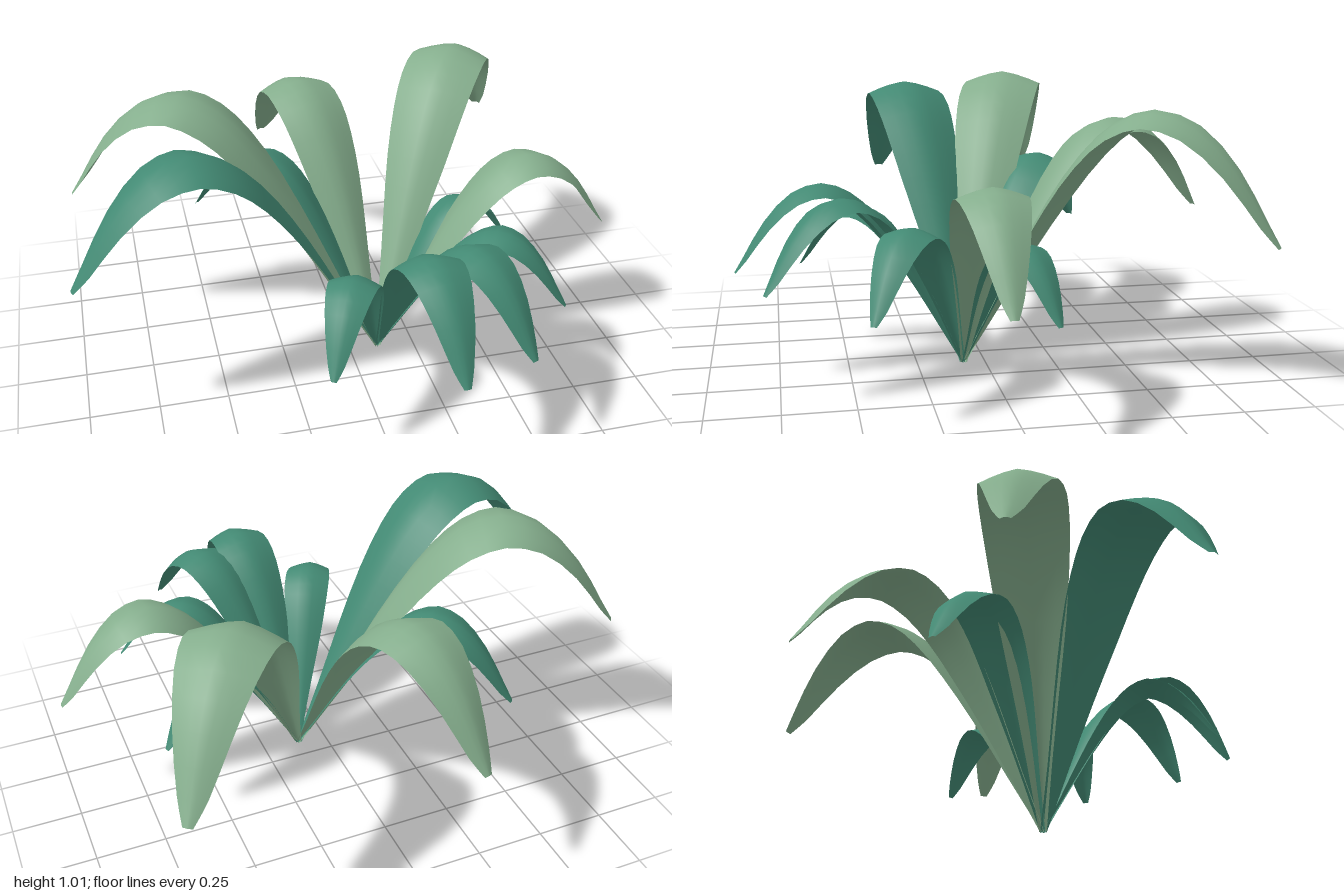
import * as THREE from 'three';

// Centre line of a leaf of unit reach: distance outwards, height, half width
const SPINE = [
  [0, 0.005, 0.012], [0.1, 0.2, 0.04], [0.2, 0.4, 0.073], [0.3, 0.58, 0.104],
  [0.4, 0.725, 0.123], [0.5, 0.82, 0.132], [0.62, 0.865, 0.131], [0.75, 0.828, 0.115],
  [0.87, 0.71, 0.083], [0.96, 0.565, 0.043], [1, 0.5, 0.015],
];
const ALONG = 20;
const ACROSS = 6;

// Arched blade: rows follow the spine, each row bends down towards its edges
function leafGeometry() {
  const curve = new THREE.CatmullRomCurve3(SPINE.map(p => new THREE.Vector3(...p)));
  const positions = [];
  const indices = [];
  for (let i = 0; i <= ALONG; i++) {
    const p = curve.getPoint(i / ALONG);
    const d = curve.getTangent(i / ALONG);
    const len = Math.hypot(d.x, d.y);
    const nx = -d.y / len, ny = d.x / len;
    for (let j = 0; j <= ACROSS; j++) {
      const s = (j / ACROSS) * 2 - 1;
      const drop = 0.3 * p.z * Math.abs(s) ** 1.4;
      positions.push(p.x - nx * drop, p.y - ny * drop, s * p.z);
      if (i < ALONG && j < ACROSS) {
        const a = i * (ACROSS + 1) + j, c = a + ACROSS + 1;
        indices.push(a, a + 1, c, a + 1, c + 1, c);
      }
    }
  }
  const geometry = new THREE.BufferGeometry();
  geometry.setAttribute('position', new THREE.Float32BufferAttribute(positions, 3));
  geometry.setIndex(indices);
  geometry.computeVertexNormals();
  return geometry;
}

export function createModel() {
  const lightGreen = new THREE.MeshStandardMaterial({ color: 0x85ae8d, side: THREE.DoubleSide });
  lightGreen.name = 'light green';
  const darkGreen = new THREE.MeshStandardMaterial({ color: 0x438a74, side: THREE.DoubleSide });
  darkGreen.name = 'dark green';

  const plant = new THREE.Group();
  plant.name = 'plant';
  const root = { x: 0.11, z: 0.08 };
  const geometry = leafGeometry();

  // Every leaf is the same blade, turned and scaled to reach its tip (x, z)
  const addLeaves = (name, material, tips) => tips.forEach(([x, z], i) => {
    const dx = x - root.x, dz = z - root.z;
    const leaf = new THREE.Mesh(geometry, material);
    leaf.name = name + (i + 1);
    leaf.position.set(root.x, 0, root.z);
    leaf.rotation.y = Math.atan2(-dz, dx);
    leaf.scale.setScalar(Math.hypot(dx, dz));
    plant.add(leaf);
  });
  addLeaves('lightLeaf', lightGreen, [[-0.16, -0.9], [0.8, -0.82], [-0.97, -0.37], [1, 0.08]]);
  addLeaves('darkLeaf', darkGreen, [
    [-1, 0.28], [-0.5, -0.48], [0.69, -0.14], [0.7, 0.46],
    [0.45, 0.79], [0.18, 0.89], [-0.2, 0.66],
  ]);
  return plant;
}
